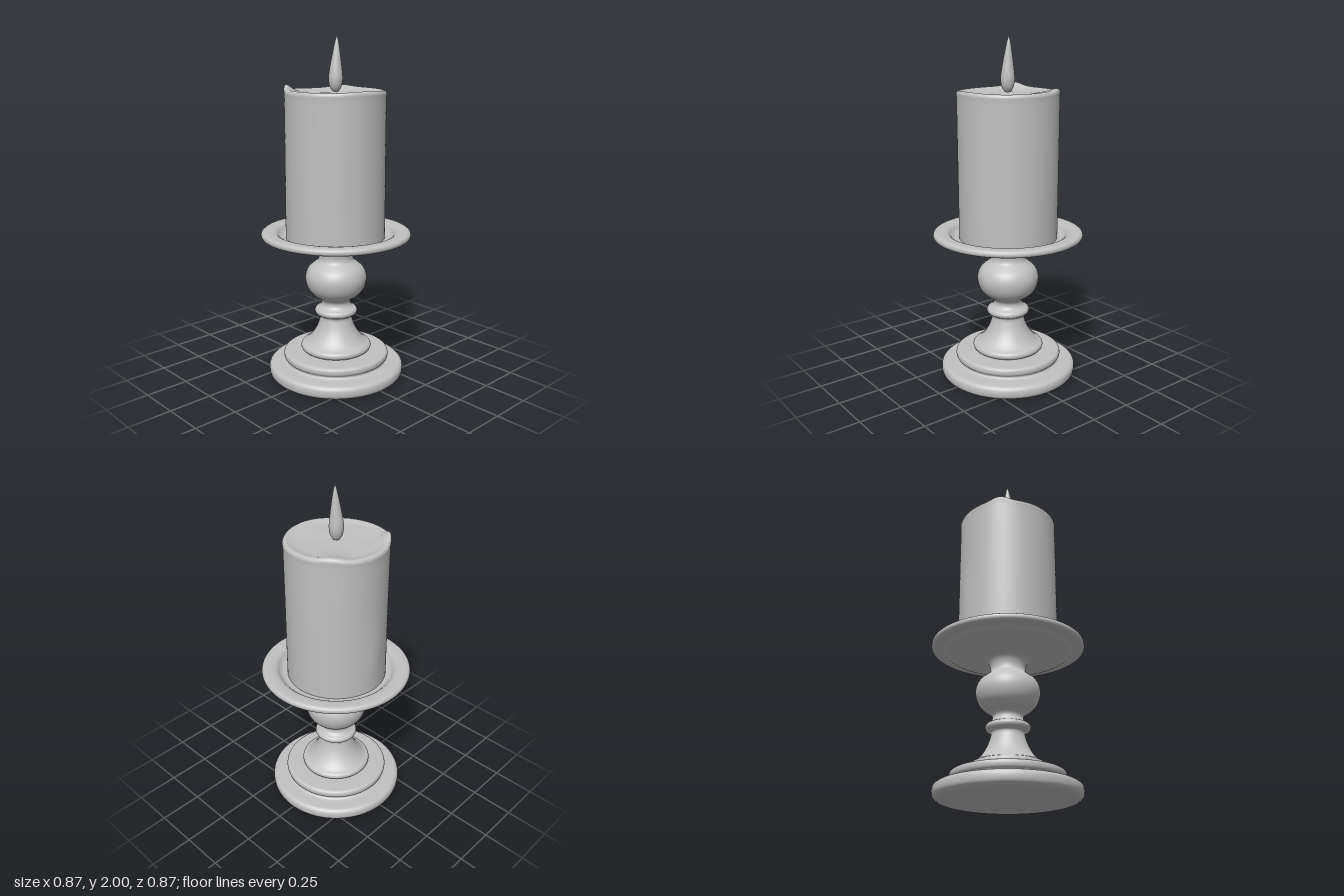
import * as THREE from 'three';
import { mergeVertices } from 'three/addons/utils/BufferGeometryUtils.js';

const v2 = (p) => new THREE.Vector2(p[0], p[1]);

// Smooth curve through a few [radius, height] points
function curve(pts, steps = 24) {
  const c = new THREE.CatmullRomCurve3(pts.map(([r, y]) => new THREE.Vector3(r, y, 0)), false, 'centripetal');
  return c.getPoints(steps).map((p) => [p.x, p.y]);
}

// Revolve a profile running from the bottom centre to the top centre
function turned(profile, segments = 72) {
  return new THREE.LatheGeometry(profile.map(v2), segments);
}

// Move vertices by a rule, weld the seam and rebuild smooth normals
function reshape(geo, rule) {
  geo.deleteAttribute('uv');
  geo.deleteAttribute('normal');
  const welded = mergeVertices(geo, 1e-5);
  const pos = welded.attributes.position;
  const p = new THREE.Vector3();
  for (let i = 0; i < pos.count; i++) {
    p.fromBufferAttribute(pos, i);
    rule(p);
    pos.setXYZ(i, p.x, p.y, p.z);
  }
  welded.computeVertexNormals();
  return welded;
}

export function createModel() {
  const grey = new THREE.MeshStandardMaterial({ color: 0xc0c0c0 });
  grey.name = 'plain grey';
  const group = new THREE.Group();
  group.name = 'candleOnHolder';
  const add = (name, geo) => {
    const mesh = new THREE.Mesh(geo, grey);
    mesh.name = name;
    group.add(mesh);
  };

  // Two stepped discs with rounded rims
  add('base', turned([
    [0, 0.008], [0.1, 0.005], [0.36, 0.005], [0.375, 0.008],
    ...curve([[0.385, 0.013], [0.398, 0.026], [0.402, 0.05], [0.398, 0.072], [0.385, 0.084]], 12),
    [0.375, 0.087], [0.33, 0.088],
    ...curve([[0.31, 0.09], [0.299, 0.098], [0.3, 0.108], [0.31, 0.117], [0.313, 0.135], [0.309, 0.149], [0.3, 0.155]], 18),
    [0.29, 0.158], [0.2, 0.158], [0, 0.158],
  ]));

  // Flared foot, ring, bulb and upper neck
  add('stem', turned([
    [0.17, 0.155], [0.19, 0.158],
    ...curve([
      [0.198, 0.163], [0.207, 0.172], [0.209, 0.185], [0.202, 0.198], [0.18, 0.21], [0.15, 0.238],
      [0.122, 0.28], [0.103, 0.325], [0.094, 0.368], [0.105, 0.378], [0.12, 0.387], [0.126, 0.402],
      [0.119, 0.417], [0.1, 0.428], [0.088, 0.443], [0.086, 0.462], [0.1, 0.482], [0.134, 0.505],
      [0.165, 0.542], [0.18, 0.59], [0.178, 0.63], [0.16, 0.668], [0.128, 0.696], [0.107, 0.714],
      [0.1, 0.738], [0.104, 0.768], [0.118, 0.792], [0.15, 0.806],
    ], 120),
  ]));

  // Dish with a raised rim and a recess for the candle
  add('dish', turned([
    ...curve([[0.1, 0.795], [0.15, 0.803], [0.22, 0.812], [0.3, 0.825], [0.345, 0.837], [0.365, 0.848]], 16),
    [0.37, 0.853], [0.385, 0.854], [0.41, 0.854],
    ...curve([[0.42, 0.855], [0.432, 0.862], [0.436, 0.874], [0.432, 0.887], [0.42, 0.895]], 12),
    [0.41, 0.896], [0.38, 0.895],
    ...curve([[0.36, 0.892], [0.345, 0.884], [0.33, 0.868], [0.315, 0.858], [0.295, 0.855]], 12),
    [0.2, 0.855], [0, 0.855],
  ]));

  // Wax candle: straight wall, soft lip and a shallow melted pool
  const wall = Array.from({ length: 17 }, (_, i) => [0.288, 0.85 + i * 0.0505]);
  const lip = curve([[0.289, 1.67], [0.289, 1.687], [0.283, 1.698], [0.272, 1.702], [0.255, 1.698],
    [0.23, 1.692], [0.18, 1.689], [0.1, 1.686], [0, 1.684]], 36);
  const bump = (p, x, z, size) => Math.exp(-((p.x - x) ** 2 + (p.z - z) ** 2) / (size * size));
  add('candle', reshape(turned([...wall, ...lip], 96), (p) => {
    const angle = Math.atan2(p.z, p.x);
    const top = THREE.MathUtils.smoothstep(p.y, 1.55, 1.69);
    const lift = 0.028 * bump(p, -0.2, 0.2, 0.06) - 0.008 * bump(p, -0.14, 0.15, 0.06)
      + 0.014 * bump(p, -0.16, -0.2, 0.07) - 0.008 * bump(p, 0.15, 0.12, 0.08)
      + 0.003 * Math.sin(angle * 3 + 1) * Math.hypot(p.x, p.z) / 0.29;
    p.y += lift * top;
    // Wax run bulging down the side, and a slight waver of the wall
    const run = Math.exp(-(((p.y - 1.08) / 0.16) ** 2)) * Math.exp(-(((Math.PI - Math.abs(angle)) / 0.2) ** 2));
    const swell = 1 + 0.025 * run + 0.004 * Math.sin(angle * 2 + p.y * 4);
    p.x = p.x * swell - 0.003;
    p.z = p.z * swell + 0.002;
  }));

  // Teardrop flame with a slight sway
  const flame = curve([[0, 1.688], [0.016, 1.694], [0.03, 1.713], [0.038, 1.74], [0.04, 1.768], [0.036, 1.81],
    [0.027, 1.87], [0.017, 1.93], [0.008, 1.975], [0, 2]], 40);
  add('flame', reshape(turned(flame, 32), (p) => {
    p.z += 0.005 * Math.cos((p.y - 1.74) * 11) - 0.002;
  }));

  return group;
}
